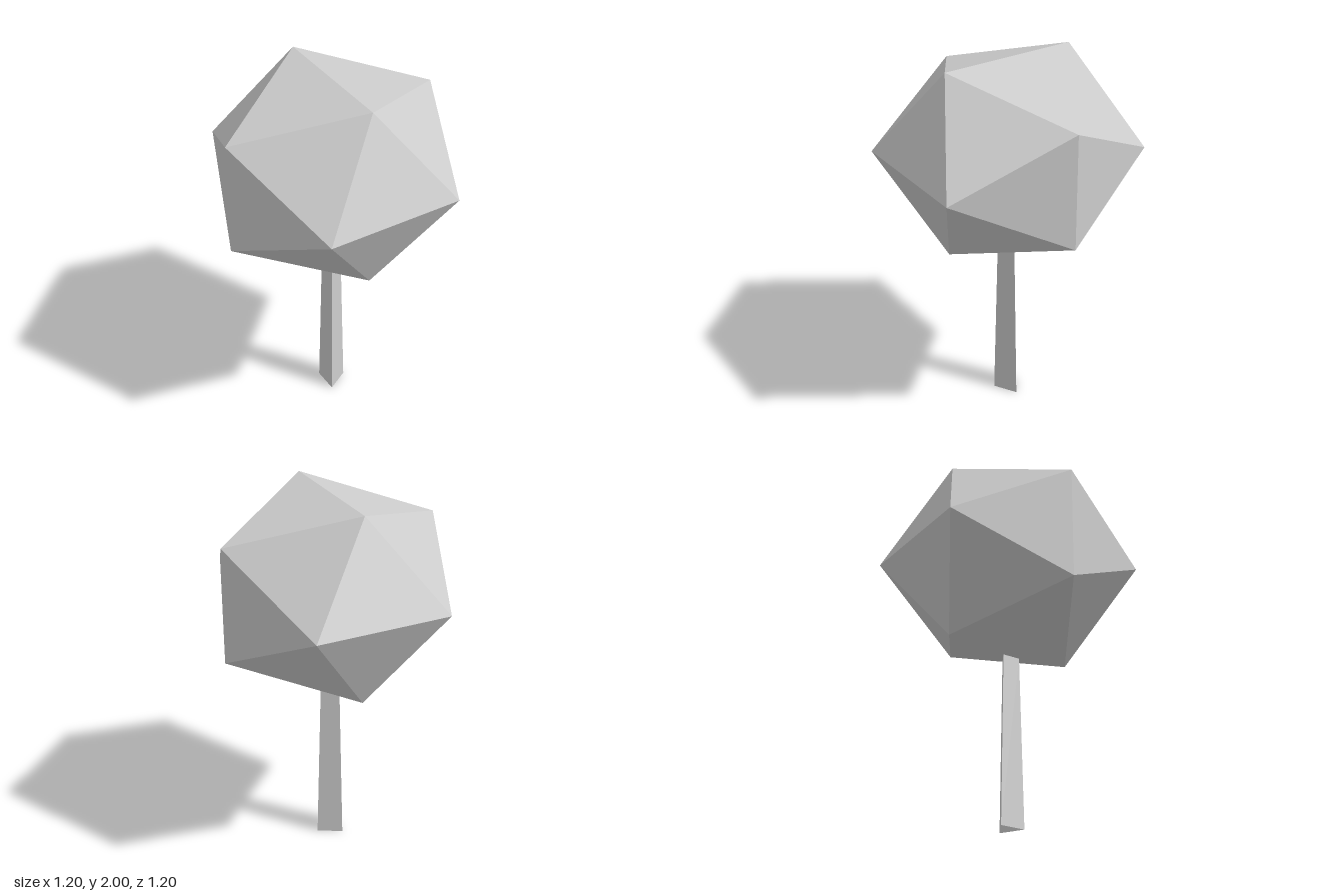
import * as THREE from 'three';

export function createModel() {
  const model = new THREE.Group();
  model.name = 'tree';

  const grey = new THREE.MeshStandardMaterial({
    color: 0xcccccc,
    flatShading: true,
    side: THREE.DoubleSide,
  });
  grey.name = 'light grey';

  // Crown: a slightly flattened icosahedron with its top edge running front to back
  const crownGeometry = new THREE.IcosahedronGeometry(0.704, 0);
  crownGeometry.rotateY(Math.PI / 2);
  crownGeometry.scale(1, 0.848, 1);
  const crown = new THREE.Mesh(crownGeometry, grey);
  crown.name = 'crown';
  crown.position.y = 1.492;
  model.add(crown);

  // Trunk: an open, tapered, three-sided tube with one edge towards +x
  const trunkHeight = 0.943;
  const trunkGeometry = new THREE.CylinderGeometry(0.057, 0.081, trunkHeight, 3, 1, true);
  trunkGeometry.rotateY(Math.PI / 2);
  const trunk = new THREE.Mesh(trunkGeometry, grey);
  trunk.name = 'trunk';
  trunk.position.y = trunkHeight / 2;
  model.add(trunk);

  return model;
}
